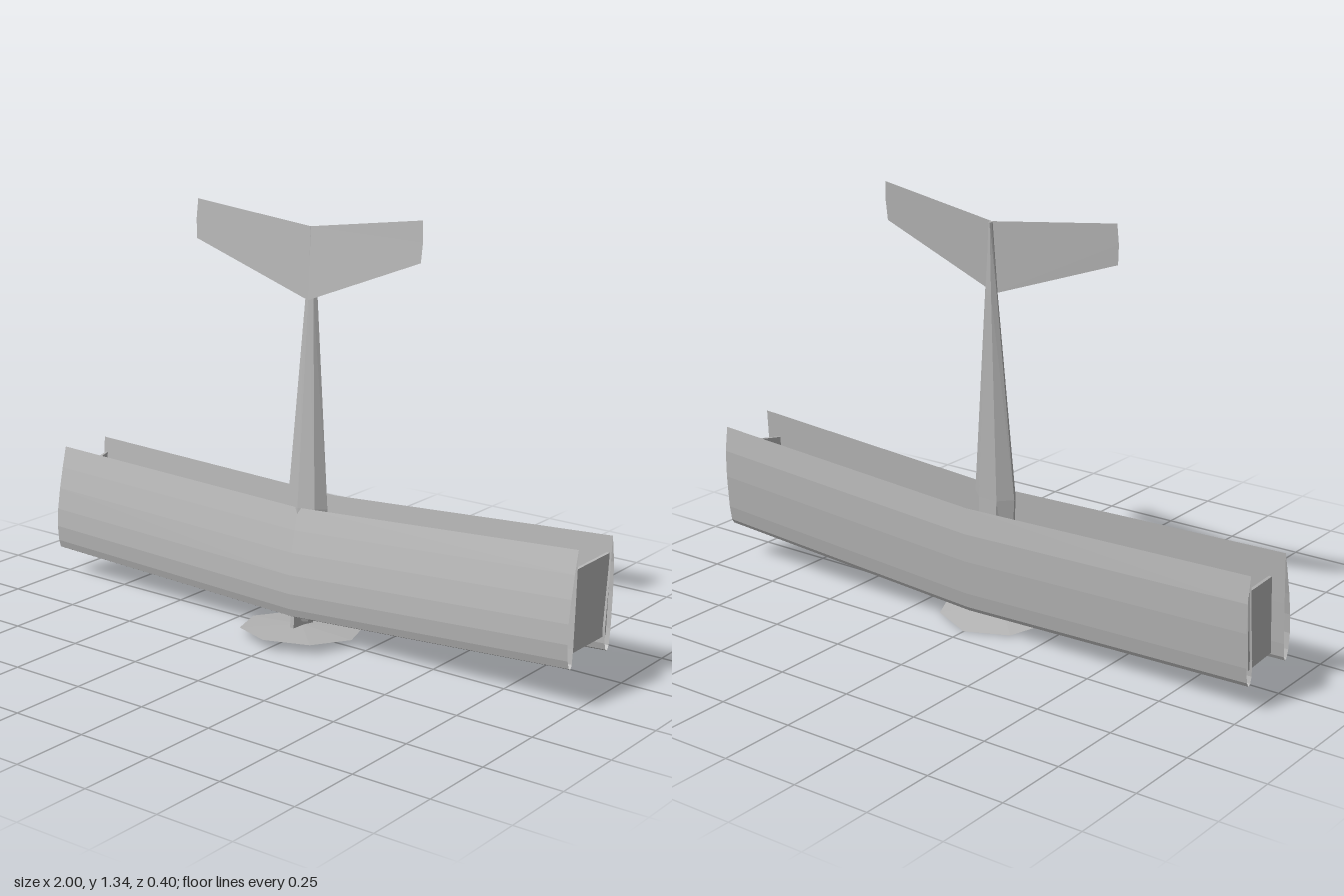
import * as THREE from 'three';

const grey = new THREE.MeshStandardMaterial({ color: 0xb4b4b4, side: THREE.DoubleSide });
grey.name = 'plain grey';

function part(name, geometry) {
  const flat = geometry.index ? geometry.toNonIndexed() : geometry;
  flat.computeVertexNormals();
  const mesh = new THREE.Mesh(flat, grey);
  mesh.name = name;
  return mesh;
}

// Skin between closed rings of [x, y, z] points, optionally capped at both ends
function loft(rings, capped) {
  const n = rings[0].length, index = [];
  for (let r = 0; r < rings.length - 1; r++) {
    for (let i = 0; i < n; i++) {
      const a = r * n + i, b = r * n + (i + 1) % n;
      index.push(a, b, a + n, b, b + n, a + n);
    }
  }
  if (capped) {
    const last = (rings.length - 1) * n;
    for (let i = 1; i < n - 1; i++) index.push(0, i + 1, i, last, last + i, last + i + 1);
  }
  const g = new THREE.BufferGeometry();
  g.setAttribute('position', new THREE.Float32BufferAttribute(rings.flat(2), 3));
  g.setIndex(index);
  return g;
}

// Swept hollow wing from a [chord, height] section
function wing(name, section) {
  return part(name, loft([-1, 0, 1].map(s =>
    section.map(([y, z]) => [s * 0.995, y + Math.abs(s) * 0.045, z])), false));
}

export function createModel() {
  const model = new THREE.Group();
  model.name = 'biplane';

  // Wings
  model.add(wing('frontWing', [
    [0.062, 0.046], [0.066, 0.056], [0.09, 0.065], [0.14, 0.073], [0.2, 0.073],
    [0.27, 0.066], [0.34, 0.055], [0.41, 0.042], [0.25, 0.039], [0.12, 0.038], [0.075, 0.04],
  ]));
  model.add(wing('rearWing', [
    [0.075, -0.16], [0.08, -0.15], [0.1, -0.143], [0.15, -0.14], [0.22, -0.143],
    [0.32, -0.148], [0.42, -0.15], [0.34, -0.167], [0.25, -0.173], [0.14, -0.173], [0.09, -0.168],
  ]));

  // Slanted panels joining the wing tips
  for (const s of [-1, 1]) {
    const ring = (y, lift) => [
      [s * 0.942, y, 0.042], [s * 0.952, y, 0.042],
      [s * 0.99, y + lift, -0.155], [s * 0.98, y + lift, -0.155],
    ];
    model.add(part(s > 0 ? 'leftStrutPanel' : 'rightStrutPanel',
      loft([ring(0.122, 0.045), ring(0.37, 0.045)], true)));
  }

  // Tapered faceted fuselage: height, half width, front z, rear z
  const sections = [
    [0.042, 0.035, 0.014, -0.05], [0.1, 0.058, 0.042, -0.07], [0.41, 0.075, 0.046, -0.045],
    [1.06, 0.022, 0.034, 0.002], [1.28, 0.005, 0.036, 0.02],
  ];
  model.add(part('fuselage', loft(sections.map(([y, w, f, r]) => {
    const d = f - r;
    return [
      [0, y, f], [w * 0.7, y, f - d * 0.2], [w, y, f - d * 0.6], [w * 0.45, y, r],
      [-w * 0.45, y, r], [-w, y, f - d * 0.6], [-w * 0.7, y, f - d * 0.2],
    ];
  }), true)));

  // Raised tailplane
  const tail = [
    [-0.426, 1.209, 0.062], [-0.43, 1.27, 0.062], [-0.426, 1.333, 0.062], [0, 1.28, 0.035],
    [0.426, 1.333, 0.062], [0.43, 1.27, 0.062], [0.426, 1.209, 0.062], [0, 1.055, 0.035],
  ];
  const tailGeometry = new THREE.BufferGeometry();
  tailGeometry.setAttribute('position', new THREE.Float32BufferAttribute(tail.flat(), 3));
  tailGeometry.setIndex([0, 7, 1, 1, 7, 3, 1, 3, 2, 7, 6, 5, 7, 5, 3, 3, 5, 4]);
  model.add(part('tailplane', tailGeometry));

  // Thin nose plate holding the propeller
  const shaft = part('propellerShaft', new THREE.BoxGeometry(0.014, 0.04, 0.1));
  shaft.position.set(0, 0.045, 0);
  model.add(shaft);

  // Eight-sided shallow propeller disc
  const disc = part('propellerDisc', new THREE.ConeGeometry(0.195, 0.012, 8));
  disc.position.y = 0.0235;
  model.add(disc);

  // Slight lean of the whole aircraft
  model.rotation.set(-0.09, -0.004, 0.02);
  const root = new THREE.Group();
  root.add(model);
  return root;
}
